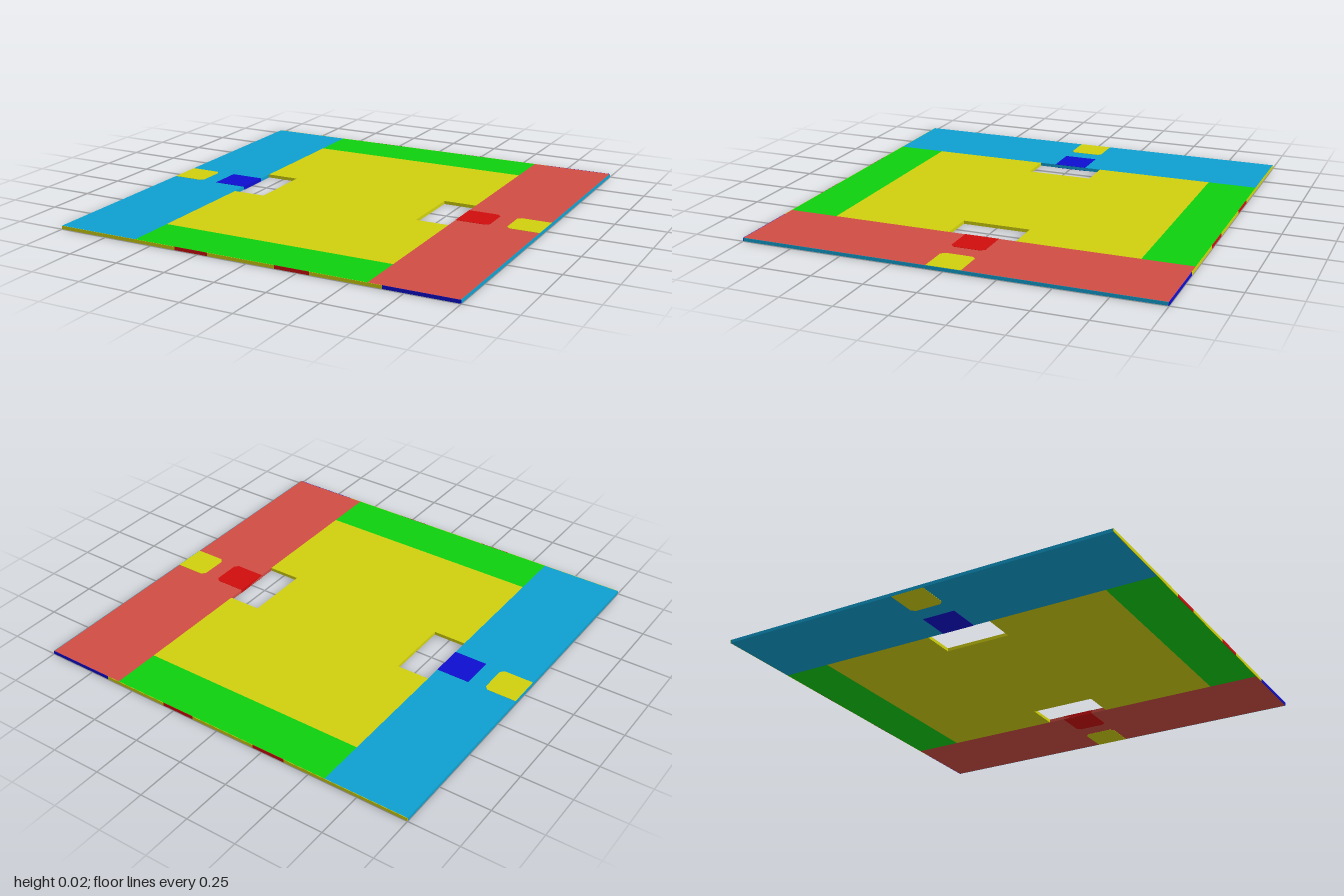
import * as THREE from 'three';

const U = 1 / 12;      // layout unit
const H = 0.016;       // board thickness
const LIP = 0.002;     // thickness of the edge trim
const E = 1 - LIP;     // half size of the board inside the trim

const mat = (name, color) => {
  const m = new THREE.MeshStandardMaterial({ color });
  m.name = name;
  return m;
};

export function createModel() {
  const yellow = mat('yellow', 0xd0d00e);
  const green = mat('green', 0x0ed00e);
  const red = mat('red', 0xd00e0e);
  const blue = mat('blue', 0x0e0ed0);
  const cyan = mat('sky blue', 0x0ea0d0);
  const coral = mat('coral', 0xd04e44);

  const model = new THREE.Group();
  model.name = 'courtBoard';

  // Extrude an outline given as [x, z] points into a flat slab
  const slab = (name, material, points, height = H) => {
    const shape = new THREE.Shape(points.map(([x, z]) => new THREE.Vector2(x, -z)));
    const geo = new THREE.ExtrudeGeometry(shape, { depth: height, bevelEnabled: false });
    geo.rotateX(-Math.PI / 2);
    geo.translate(0, 0.009 - height / 2, 0);
    const mesh = new THREE.Mesh(geo, material);
    mesh.name = name;
    model.add(mesh);
  };
  const rect = (x0, x1, z0, z1) => [[x0, z0], [x1, z0], [x1, z1], [x0, z1]];

  // Centre field, notched on both sides by the openings
  const a = 7 * U, b = 5 * U, c = 2 * U, f = 0.755;
  slab('centreField', yellow, [
    [-a, -f], [a, -f], [a, -c], [b, -c], [b, c], [a, c],
    [a, f], [-a, f], [-a, c], [-b, c], [-b, -c], [-a, -c],
  ]);

  // End bands and side bands
  slab('backBand', green, rect(-a, a, -E, -f));
  slab('frontBand', green, rect(-a, a, f, E));
  slab('rightBand', cyan, rect(-E, -a, -E, E));
  slab('leftBand', coral, rect(a, E, -E, E));

  // Painted patches, showing on both faces; k clips the corners on +x or -x
  const patch = (name, material, x0, x1, clipMin, clipMax) => {
    const z = U, k = 0.018;
    const p = clipMin ? [[x0, z - k], [x0, k - z], [x0 + k, -z]] : [[x0, z], [x0, -z]];
    p.push(...(clipMax ? [[x1 - k, -z], [x1, k - z], [x1, z - k], [x1 - k, z]] : [[x1, -z], [x1, z]]));
    if (clipMin) p.push([x0 + k, z]);
    slab(name, material, p, H + 0.002);
  };
  patch('rightOuterPatch', yellow, -E, -10 * U, false, true);
  patch('rightInnerPatch', blue, -9 * U, -a, false, false);
  patch('leftInnerPatch', red, a, 9 * U, false, true);
  patch('leftOuterPatch', yellow, 10 * U, E, true, false);

  // Thin coloured trim along the four edges
  const trim = (name, material, x0, x1, z0, z1) => {
    const mesh = new THREE.Mesh(new THREE.BoxGeometry(x1 - x0, H, z1 - z0), material);
    mesh.position.set((x0 + x1) / 2, 0.009, (z0 + z1) / 2);
    mesh.name = name;
    model.add(mesh);
  };
  const stops = [-1, -0.37, -0.2, 0.14, 0.31, 0.65, 1];
  const colours = [yellow, red, yellow, red, yellow, blue];
  colours.forEach((m, i) => {
    trim('frontTrim', m, stops[i], stops[i + 1], E, 1);
    trim('backTrim', m, stops[i], stops[i + 1], -1, -E);
  });
  trim('leftTrim', cyan, E, 1, -E, E);
  trim('rightTrim', cyan, -1, -E, -E, E);

  // Rest the underside patches on y = 0
  model.children.forEach((m) => { m.updateMatrix(); });
  return model;
}
